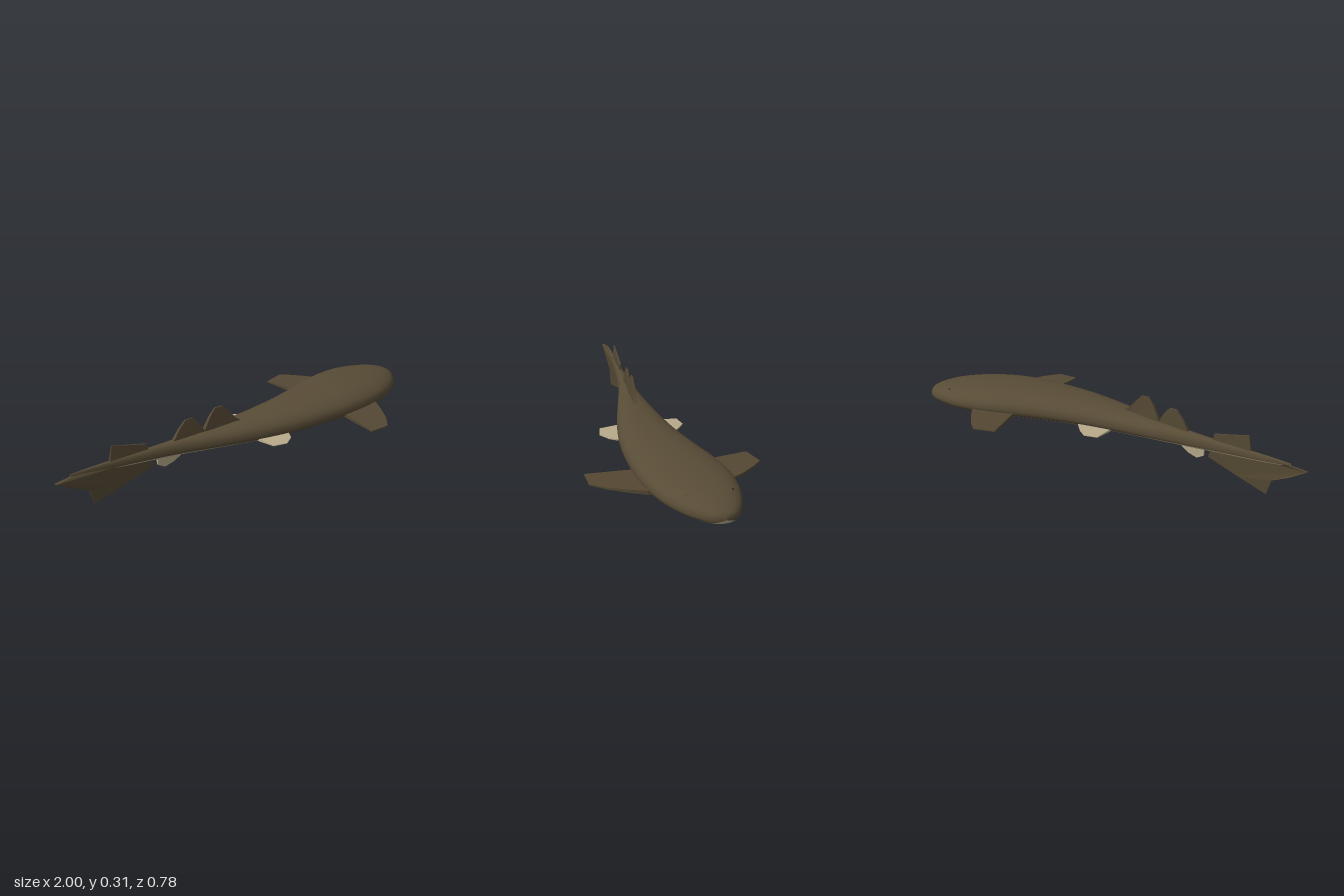
import * as THREE from 'three';

const mat = (name, color, side = THREE.FrontSide) => {
  const m = new THREE.MeshStandardMaterial({ color, side });
  m.name = name;
  return m;
};

// body stations, tail to snout: x, z min, z max, y bottom, y top
const STATIONS = [
  [-0.92, -0.113, -0.107, 0.166, 0.180],
  [-0.80, -0.107, -0.089, 0.153, 0.187],
  [-0.60, -0.094, -0.058, 0.139, 0.193],
  [-0.40, -0.086, -0.018, 0.127, 0.200],
  [-0.20, -0.089, 0.044, 0.118, 0.209],
  [0.00, -0.098, 0.107, 0.111, 0.221],
  [0.20, -0.116, 0.155, 0.106, 0.231],
  [0.40, -0.155, 0.178, 0.103, 0.237],
  [0.57, -0.196, 0.180, 0.102, 0.237],
  [0.70, -0.211, 0.163, 0.102, 0.228],
  [0.80, -0.203, 0.132, 0.102, 0.216],
  [0.89, -0.177, 0.084, 0.104, 0.201],
  [0.95, -0.148, 0.032, 0.108, 0.184],
  [0.985, -0.115, -0.015, 0.115, 0.167],
  [1.00, -0.068, -0.062, 0.135, 0.146],
];

// sideways position of the curved spine at x
function spineZ(x) {
  let i = 0;
  while (i < STATIONS.length - 2 && x > STATIONS[i + 1][0]) i++;
  const a = STATIONS[i], b = STATIONS[i + 1];
  const t = Math.max(0, (x - a[0]) / (b[0] - a[0]));
  return THREE.MathUtils.lerp((a[1] + a[2]) / 2, (b[1] + b[2]) / 2, t);
}

// smooth loft through the stations, back and belly as two material groups
function bodyGeometry() {
  const seg = 36, per = 5, count = (STATIONS.length - 1) * per;
  const curve = new THREE.CubicInterpolant(STATIONS.map((s, i) => i), STATIONS.flat(), 5);
  const pos = [], back = [], belly = [];
  for (let r = 0; r <= count; r++) {
    const [x, z0, z1, y0, y1] = curve.evaluate(r / per);
    const mid = y0 + (y1 - y0) * 0.42;
    for (let k = 0; k < seg; k++) {
      const a = (k / seg) * Math.PI * 2, c = Math.cos(a), s = Math.sin(a);
      const round = (v) => Math.sign(v) * Math.abs(v) ** 0.87;
      pos.push(x, mid + round(s) * (s > 0 ? y1 - mid : mid - y0), (z0 + z1) / 2 + round(c) * (z1 - z0) / 2);
    }
  }
  const isBelly = (k) => k >= 21 && k < 33;
  for (let r = 0; r < count; r++) {
    for (let k = 0; k < seg; k++) {
      const n = (k + 1) % seg, a = r * seg + k, b = r * seg + n;
      (isBelly(k) ? belly : back).push(a, a + seg, b, b, a + seg, b + seg);
    }
  }
  // tail and snout caps
  const tail = pos.length / 3, end = count * seg;
  pos.push(-0.925, 0.173, -0.11, 1.0, 0.14, -0.065);
  for (let k = 0; k < seg; k++) {
    const n = (k + 1) % seg;
    (isBelly(k) ? belly : back).push(tail, k, n, tail + 1, end + n, end + k);
  }
  const g = new THREE.BufferGeometry();
  g.setAttribute('position', new THREE.Float32BufferAttribute(pos, 3));
  g.setIndex([...back, ...belly]);
  g.addGroup(0, back.length, 0);
  g.addGroup(back.length, belly.length, 1);
  g.computeVertexNormals();
  return g;
}

// plate from an outline; place(u, v, s) puts each corner, s = -0.5 or 0.5 across the thickness
function plate(name, outline, material, place) {
  const shape = new THREE.Shape(outline.map(([u, v]) => new THREE.Vector2(u, v)));
  const g = new THREE.ExtrudeGeometry(shape, { depth: 1, steps: 1, bevelEnabled: false });
  const p = g.attributes.position;
  for (let i = 0; i < p.count; i++) p.setXYZ(i, ...place(p.getX(i), p.getY(i), p.getZ(i) - 0.5));
  g.computeVertexNormals();
  const mesh = new THREE.Mesh(g, material);
  mesh.name = name;
  return mesh;
}

// upright fin that follows the spine and thins away from its root height
const uprightFin = (name, outline, material, rootY, thick, span) =>
  plate(name, outline, material, (x, y, s) => {
    const t = Math.min(1, Math.abs(y - rootY) / span);
    return [x, y, spineZ(x) + s * thick * (1 - 0.65 * t)];
  });

// level fin, outline in x and -z, thinning toward the tip
const levelFin = (name, outline, material, y, thick, rootV, tipV) =>
  plate(name, outline, material, (x, v, s) => {
    const t = THREE.MathUtils.clamp((Math.abs(v) - rootV) / (tipV - rootV), 0, 1);
    return [x, y + 0.003 * t + s * thick * (1 - 0.75 * t), -v];
  });

export function createModel() {
  const model = new THREE.Group();
  model.name = 'shark';
  const brown = mat('back brown', 0x584c36);
  const finBrown = mat('fin brown', 0x544833, THREE.DoubleSide);
  const tan = mat('belly tan', 0xb8aa8a);
  const finTan = mat('pale fin tan', 0xb8aa8a, THREE.DoubleSide);
  const dark = mat('eye dark', 0x2a2419);

  const body = new THREE.Mesh(bodyGeometry(), [brown, tan]);
  body.name = 'body';
  model.add(body);

  // paired fins
  model.add(
    levelFin('rightPectoralFin', [[0.48, 0.1], [0.465, 0.2], [0.44, 0.37], [0.545, 0.395], [0.59, 0.345],
      [0.64, 0.275], [0.68, 0.2], [0.69, 0.1]], finBrown, 0.139, 0.02, 0.17, 0.39),
    levelFin('leftPectoralFin', [[0.48, -0.1], [0.465, -0.2], [0.44, -0.385], [0.54, -0.39], [0.595, -0.325],
      [0.645, -0.24], [0.68, -0.17], [0.69, -0.1]], finBrown, 0.139, 0.02, 0.17, 0.39),
    levelFin('rightPelvicFin', [[-0.02, 0.03], [-0.015, 0.11], [-0.005, 0.19], [0.06, 0.2], [0.105, 0.16],
      [0.15, 0.1], [0.16, 0.03]], finTan, 0.133, 0.012, 0.09, 0.2),
    levelFin('leftPelvicFin', [[-0.02, -0.03], [-0.015, -0.11], [-0.005, -0.19], [0.06, -0.21], [0.115, -0.175],
      [0.145, -0.12], [0.16, -0.03]], finTan, 0.133, 0.012, 0.09, 0.2),
  );

  // fins along the midline
  model.add(
    uprightFin('firstDorsalFin', [[-0.25, 0.19], [-0.24, 0.22], [-0.215, 0.27], [-0.185, 0.31], [-0.145, 0.31],
      [-0.105, 0.27], [-0.08, 0.238], [-0.05, 0.215], [-0.05, 0.19]], finBrown, 0.21, 0.02, 0.1),
    uprightFin('secondDorsalFin', [[-0.41, 0.18], [-0.4, 0.205], [-0.375, 0.245], [-0.34, 0.287], [-0.3, 0.288],
      [-0.27, 0.255], [-0.245, 0.215], [-0.235, 0.18]], finBrown, 0.2, 0.018, 0.09),
    uprightFin('analFin', [[-0.49, 0.15], [-0.487, 0.1], [-0.45, 0.08], [-0.405, 0.095], [-0.375, 0.115],
      [-0.34, 0.15]], finTan, 0.13, 0.014, 0.05),
    uprightFin('upperTailFin', [[-0.73, 0.175], [-0.715, 0.26], [-0.625, 0.24], [-0.54, 0.222], [-0.53, 0.175]],
      finBrown, 0.19, 0.014, 0.07),
    uprightFin('lowerTailFin', [[-1, 0.157], [-0.92, 0.113], [-0.835, 0.075], [-0.81, 0], [-0.66, 0.05],
      [-0.51, 0.103], [-0.53, 0.155], [-0.7, 0.165], [-0.9, 0.17]], finBrown, 0.15, 0.014, 0.14),
  );

  // eyes set into the head
  for (const [name, z] of [['leftEye', 0.056], ['rightEye', -0.146]]) {
    const eye = new THREE.Mesh(new THREE.SphereGeometry(0.008, 12, 8), dark);
    eye.name = name;
    eye.position.set(0.85, 0.191, z);
    eye.scale.set(1.1, 0.7, 0.8);
    model.add(eye);
  }
  return model;
}
